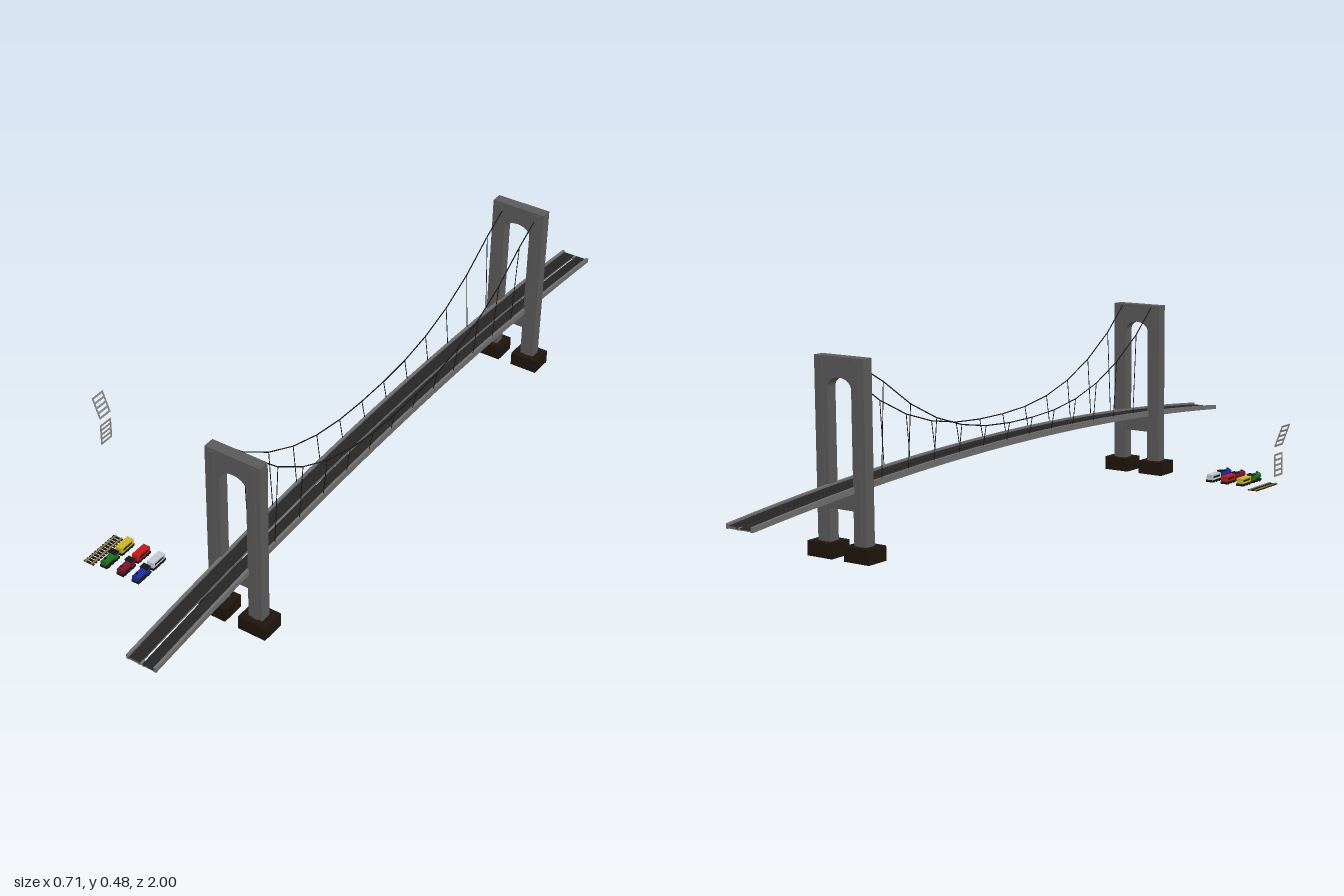
import * as THREE from 'three';

const mat = (color) => new THREE.MeshStandardMaterial({ color, flatShading: true });
const stone = mat(0x5a5a5a), dark = mat(0x262626), brown = mat(0x1e150d), grey = mat(0x6e6e6e);
const black = mat(0x151515), khaki = mat(0x857a4a), metal = mat(0x888888);
const CX = 0.262; // centre line of the bridge

function add(parent, name, geometry, material, x = 0, y = 0, z = 0) {
  const mesh = new THREE.Mesh(geometry, material);
  mesh.name = name;
  mesh.position.set(x, y, z);
  parent.add(mesh);
  return mesh;
}
const box = (parent, name, material, w, h, d, x, y, z) =>
  add(parent, name, new THREE.BoxGeometry(w, h, d), material, x, y, z);

// Thin straight rod between two points
function rod(parent, name, a, b, r, material) {
  const dir = b.clone().sub(a);
  const mesh = add(parent, name, new THREE.CylinderGeometry(r, r, dir.length(), 6), material);
  mesh.position.copy(a).add(b).multiplyScalar(0.5);
  mesh.quaternion.setFromUnitVectors(new THREE.Vector3(0, 1, 0), dir.normalize());
}

// Arched deck lines
const roadTop = (z) => 0.141 + 0.055 * (1 - z * z);
const deckBottom = (z) => 0.134 + 0.05 * (1 - z * z);

// Strip following the arch, between x0 and x1
function archStrip(parent, name, material, x0, x1, low, high) {
  const n = 24, pts = [];
  for (let i = 0; i <= n; i++) pts.push([-1 + 2 * i / n, low]);
  for (let i = n; i >= 0; i--) pts.push([-1 + 2 * i / n, high]);
  const shape = new THREE.Shape(pts.map(([z, f]) => new THREE.Vector2(z, f(z))));
  const geo = new THREE.ExtrudeGeometry(shape, { depth: x1 - x0, bevelEnabled: false });
  geo.rotateY(Math.PI / 2);
  add(parent, name, geo, material, x0, 0, 0);
}

function makeDeck() {
  const deck = new THREE.Group();
  deck.name = 'deck';
  for (const s of [-1, 1]) {
    const span = (a, b) => (s > 0 ? [CX + a, CX + b] : [CX - b, CX - a]);
    archStrip(deck, 'sideGirder', grey, ...span(0.034, 0.041), deckBottom, (z) => roadTop(z) + 0.005);
    archStrip(deck, 'roadLane', dark, ...span(0.004, 0.034), (z) => roadTop(z) - 0.003, roadTop);
    archStrip(deck, 'roadBed', grey, ...span(0.004, 0.034), (z) => deckBottom(z) + 0.002, (z) => roadTop(z) - 0.003);
    archStrip(deck, 'innerGirder', grey, ...span(0.004, 0.008), deckBottom, (z) => roadTop(z) - 0.003);
    box(deck, 'endTie', grey, 0.082, 0.006, 0.012, CX, 0.138, s * 0.994);
  }
  return deck;
}

function makeTower(z) {
  const tower = new THREE.Group();
  tower.name = 'tower';
  // Portal outline with a lower opening between the legs
  const shape = new THREE.Shape([[-0.075, 0.03], [-0.037, 0.03], [-0.037, 0.12], [0.037, 0.12],
    [0.037, 0.03], [0.075, 0.03], [0.075, 0.483], [-0.075, 0.483]].map((p) => new THREE.Vector2(...p)));
  const arch = new THREE.Path();
  arch.moveTo(-0.037, 0.17);
  arch.lineTo(0.037, 0.17);
  arch.lineTo(0.037, 0.408);
  arch.absellipse(0, 0.408, 0.037, 0.026, 0, Math.PI, false);
  arch.lineTo(-0.037, 0.17);
  shape.holes.push(arch);
  const geo = new THREE.ExtrudeGeometry(shape, { depth: 0.03, bevelEnabled: false, curveSegments: 16 });
  add(tower, 'portal', geo, stone, 0, 0, -0.015);
  for (const s of [-1, 1]) {
    box(tower, 'footing', brown, 0.076, 0.037, 0.064, s * 0.057, 0.0185, 0);
    box(tower, 'pilaster', stone, 0.013, 0.44, 0.034, s * 0.056, 0.257, 0);
  }
  tower.position.set(CX, 0, z);
  return tower;
}

function makeCables() {
  const cables = new THREE.Group();
  cables.name = 'cables';
  const cableY = (z) => 0.245 + 0.235 * Math.pow(Math.abs(z) / 0.63, 2.5);
  for (const s of [-1, 1]) {
    const x = CX + s * 0.048;
    const line = [new THREE.Vector3(x, 0.458, -0.63)];
    for (let i = 0; i < 12; i++) {
      const z = -0.555 + 0.1 * i;
      const top = new THREE.Vector3(x, cableY(z), z);
      line.push(top);
      rod(cables, 'hanger', top, new THREE.Vector3(CX + s * 0.038, roadTop(z), z), 0.001, black);
    }
    line.push(new THREE.Vector3(x, 0.48, 0.625));
    for (let i = 1; i < line.length; i++) rod(cables, 'mainCable', line[i - 1], line[i], 0.0015, black);
  }
  return cables;
}

// Small engine with a wagon behind it
function makeTrain(x, engineColor, wagonColor) {
  const train = new THREE.Group();
  train.name = 'train';
  const paint = mat(engineColor);
  const boiler = new THREE.CylinderGeometry(0.0095, 0.0095, 0.034, 12).rotateX(Math.PI / 2);
  add(train, 'boiler', boiler, paint, 0, 0.02, 0.668);
  box(train, 'cab', paint, 0.019, 0.017, 0.015, 0, 0.02, 0.645);
  box(train, 'cabRoof', black, 0.021, 0.002, 0.017, 0, 0.029, 0.645);
  add(train, 'chimney', new THREE.CylinderGeometry(0.003, 0.002, 0.006, 8), black, 0, 0.029, 0.677);
  box(train, 'wagonBody', mat(wagonColor), 0.019, 0.016, 0.046, 0, 0.02, 0.603);
  box(train, 'wagonWindows', black, 0.0195, 0.005, 0.034, 0, 0.021, 0.603);
  box(train, 'coupling', black, 0.004, 0.003, 0.012, 0, 0.01, 0.631);
  for (const z of [0.603, 0.661]) {
    box(train, 'chassis', black, 0.021, 0.006, 0.05, 0, 0.01, z);
    for (const s of [-1, 1]) for (const dz of [-0.015, 0, 0.015]) {
      const wheel = new THREE.CylinderGeometry(0.004, 0.004, 0.003, 10).rotateZ(Math.PI / 2);
      add(train, 'wheel', wheel, black, s * 0.009, 0.009, z + dz);
    }
  }
  train.position.x = x;
  return train;
}

function makeTrack() {
  const track = new THREE.Group();
  track.name = 'track';
  for (let i = 0; i < 12; i++) box(track, 'sleeper', brown, 0.03, 0.002, 0.006, 0, 0.001, 0.575 + i * 0.01);
  for (const s of [-1, 1]) box(track, 'rail', khaki, 0.004, 0.003, 0.118, s * 0.009, 0.0025, 0.63);
  track.position.x = -0.15;
  return track;
}

// Ladder-like fence panel, centred on its own origin
function makeFence(height) {
  const fence = new THREE.Group();
  fence.name = 'fencePanel';
  for (const s of [-1, 1]) box(fence, 'fencePost', metal, 0.002, height, 0.004, 0, 0, s * 0.019);
  for (let i = 0; i < 5; i++) {
    box(fence, 'fenceRail', metal, 0.002, 0.005, 0.042, 0, (i / 4 - 0.5) * (height - 0.005), 0);
  }
  return fence;
}

export function createModel() {
  const model = new THREE.Group();
  model.name = 'suspensionBridge';
  model.add(makeDeck(), makeTower(0.637), makeTower(-0.643), makeCables());
  model.add(makeTrain(-0.105, 0x1f6b1f, 0xc9b52a));
  model.add(makeTrain(-0.055, 0x7a1230, 0xc01818));
  model.add(makeTrain(-0.009, 0x1c2a9a, 0xc4c8d0));
  model.add(makeTrack());
  const upright = makeFence(0.06);
  upright.position.set(-0.336, 0.126, 0.378);
  const leaning = makeFence(0.061);
  leaning.position.set(-0.346, 0.204, 0.378);
  leaning.rotation.z = 0.36;
  model.add(upright, leaning);
  return model;
}
